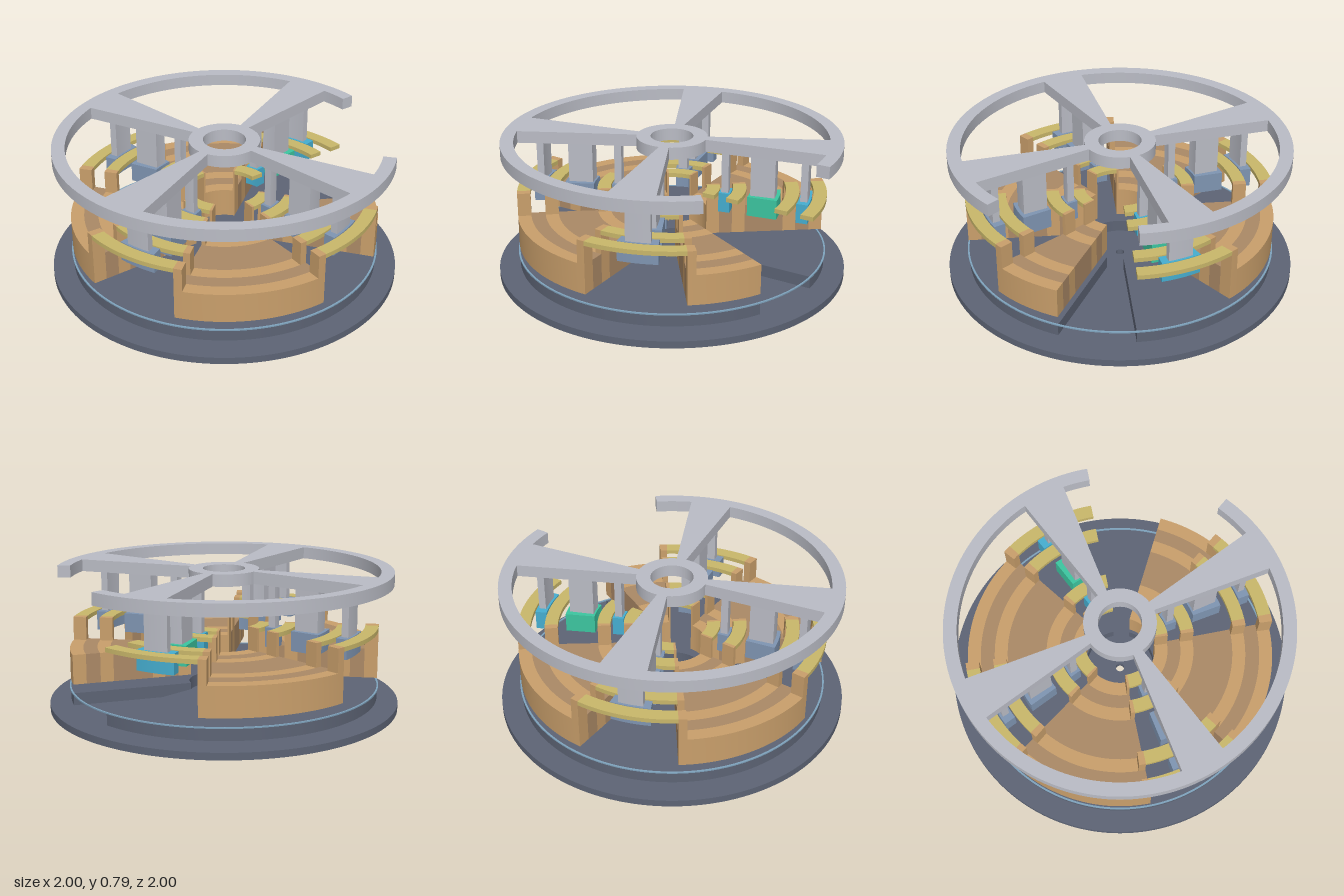
import * as THREE from 'three';
import { toCreasedNormals } from 'three/addons/utils/BufferGeometryUtils.js';

const mat = (name, color) => {
  const m = new THREE.MeshStandardMaterial({ color });
  m.name = name;
  return m;
};
const M = {
  slate: mat('slate', 0x5d6475),
  lightWood: mat('lightWood', 0xc99f6b),
  darkWood: mat('darkWood', 0xab8966),
  brass: mat('brass', 0xc9b76a),
  metal: mat('paleMetal', 0xbabcc5),
  steel: mat('steelBlue', 0x7f95b2),
  teal: mat('teal', 0x3cc6a0),
  cyan: mat('cyan', 0x46aed0),
  trim: mat('blueTrim', 0x7fa3bd),
};

// Ring sector between radii and angles (degrees, from +x towards +z), from y0 to y1
function sector(name, material, [r0, r1], [a0, a1], [y0, y1]) {
  const s = THREE.MathUtils.degToRad(a0), e = THREE.MathUtils.degToRad(a1);
  const shape = new THREE.Shape();
  if (a1 - a0 >= 360) {
    shape.absarc(0, 0, r1, 0, Math.PI * 2, false);
    shape.holes.push(new THREE.Path().absarc(0, 0, r0, 0, Math.PI * 2, true));
  } else {
    shape.absarc(0, 0, r1, s, e, false);
    shape.absarc(0, 0, r0, e, s, true);
    shape.closePath();
  }
  const geo = new THREE.ExtrudeGeometry(shape, {
    depth: y1 - y0,
    bevelEnabled: false,
    curveSegments: Math.max(3, Math.ceil((a1 - a0) / 3.75)),
  });
  geo.rotateX(Math.PI / 2).translate(0, y1, 0);
  const mesh = new THREE.Mesh(toCreasedNormals(geo, 0.5), material);
  mesh.name = name;
  return mesh;
}

function group(name, parts) {
  const g = new THREE.Group();
  g.name = name;
  g.add(...parts);
  return g;
}

// Concentric tracks: rails stand on the light ones, sliders run in the slots
const RAILS = [[0.2, 0.275], [0.35, 0.425], [0.65, 0.725], [0.805, 0.88]];
const SLOTS = [[0.275, 0.35], [0.425, 0.65], [0.725, 0.805]];
const SLIDERS = [[0.28, 0.345], [0.45, 0.62], [0.732, 0.798]];
const PILLARS = [[0.292, 0.333], [0.46, 0.6], [0.745, 0.785]];
const CUT = 27.5;      // edge of the cutaway in the lower layers
const POST = 3;        // angular width of a rail post

export function createModel() {
  const model = new THREE.Group();
  model.name = 'layeredRotor';

  // Base plate, cut disc and its thin edge ring
  model.add(
    sector('basePlate', M.slate, [0.025, 1], [0, 360], [0, 0.04]),
    sector('lowerDisc', M.slate, [0.2, 0.88], [CUT, 360], [0.06, 0.13]),
    sector('edgeRing', M.trim, [0.878, 0.888], [0, 360], [0.127, 0.134]),
  );

  for (let k = 0; k < 4; k++) {
    const a = k * 90;
    const start = k === 0 ? CUT : a;
    const end = a + 54;

    // Banded wooden block with a post for each rail at its ends
    const wood = [];
    RAILS.forEach((r) => {
      wood.push(sector('lightBand', M.lightWood, r, [start, end], [0.18, 0.35]));
      wood.push(sector('railPost', M.lightWood, r, [end - POST, end], [0.35, 0.485]));
      if (k > 0) wood.push(sector('railPost', M.lightWood, r, [a, a + POST], [0.35, 0.485]));
    });
    SLOTS.forEach((r) => wood.push(sector('darkBand', M.darkWood, r, [start, end], [0.18, 0.35])));
    model.add(group('woodBlock', wood));

    // Rails bridging the gap to the next block
    model.add(group('rails', RAILS.map((r) => sector('rail', M.brass, r, [end, a + 90], [0.46, 0.485]))));

    // Sliders hung on pillars below the spoke; one set is highlighted
    const colours = k === 3 ? [M.cyan, M.teal, M.cyan] : [M.steel, M.steel, M.steel];
    const hung = [];
    SLIDERS.forEach((r, i) => {
      hung.push(sector('slider', colours[i], r, [a + 64, a + 80], [0.37, 0.483]));
      hung.push(sector('pillar', M.metal, PILLARS[i], [a + 67, a + 77], [0.483, 0.72]));
    });
    model.add(group('sliders', hung));
  }

  // Top wheel: hub, open rim and four tapering spokes
  const wheel = [
    sector('hub', M.metal, [0.12, 0.2], [0, 360], [0.72, 0.79]),
    sector('rim', M.metal, [0.885, 0.96], [50, 360], [0.72, 0.79]),
  ];
  for (let k = 0; k < 4; k++) {
    wheel.push(sector('spoke', M.metal, [0.199, 0.886], [k * 90 + 64, k * 90 + 80], [0.72, 0.79]));
  }
  model.add(group('topWheel', wheel));

  return model;
}
